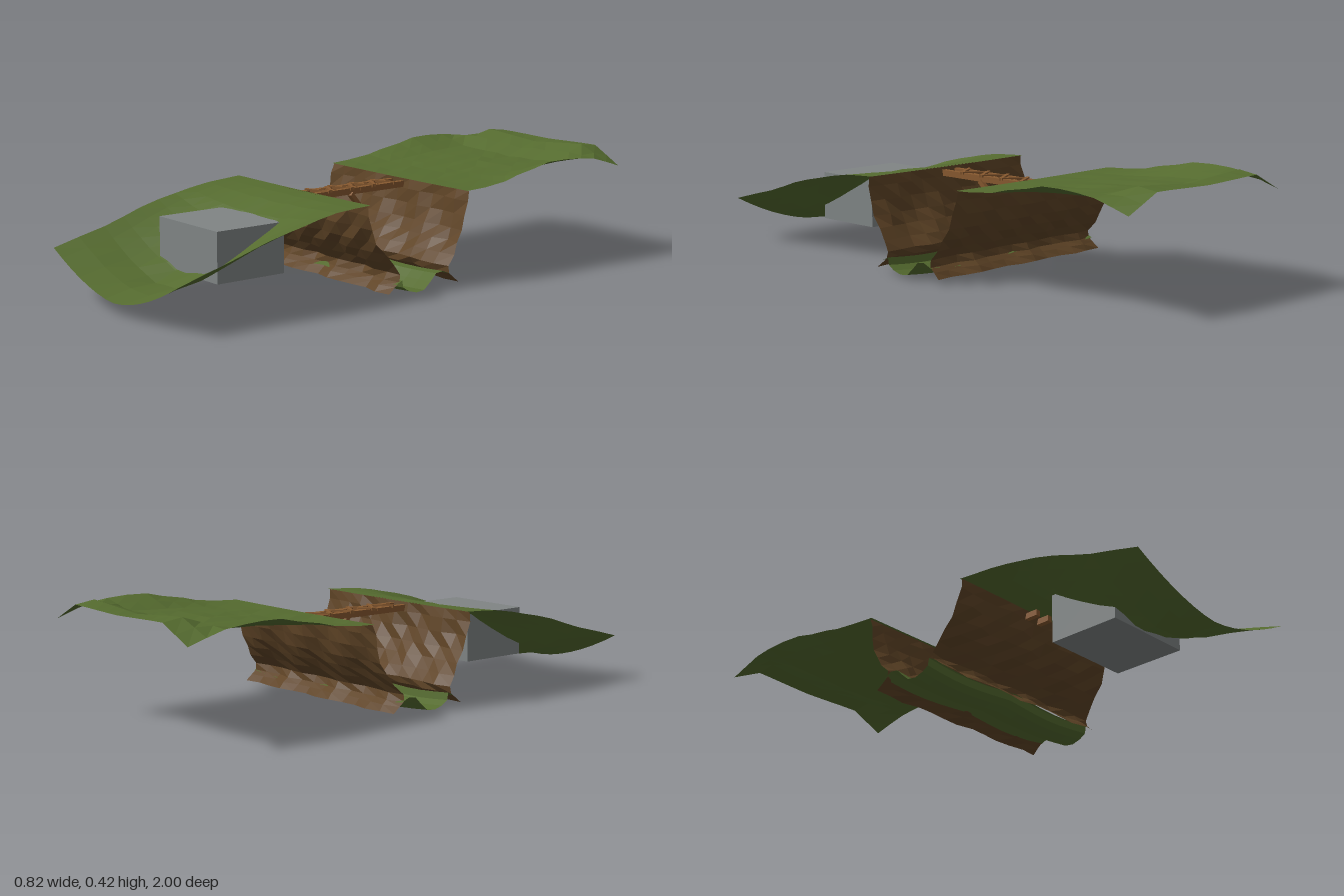
import * as THREE from 'three';

const GREEN = 0x556b2f, BROWN = 0x5f4426, LACE = 0x87592f, GREY = 0x808585;

function material(color) {
  return new THREE.MeshStandardMaterial({ color, flatShading: true, side: THREE.DoubleSide });
}

// Small repeatable ripple for cloth, about -1..1
const ripple = (a, b) => Math.sin(a * 17 + b * 9) * 0.6 + Math.sin(a * 31 - b * 23 + 1.3) * 0.4;

// Cloth sheet: each station is a row across x; pointAt(station, u) with u in -1..1
function sheet(name, color, stations, columns, pointAt) {
  const positions = [], index = [];
  stations.forEach((s, r) => {
    for (let c = 0; c <= columns; c++) {
      positions.push(...pointAt(s, (c / columns) * 2 - 1));
      if (r && c) {
        const d = r * (columns + 1) + c, b = d - columns - 1;
        index.push(b - 1, d - 1, b, b, d - 1, d);
      }
    }
  });
  const g = new THREE.BufferGeometry();
  g.setAttribute('position', new THREE.Float32BufferAttribute(positions, 3));
  g.setIndex(index);
  g.computeVertexNormals();
  const mesh = new THREE.Mesh(g, material(color));
  mesh.name = name;
  return mesh;
}

// Square strip running between two points
function strip(name, from, to, width, height) {
  const a = new THREE.Vector3(...from), b = new THREE.Vector3(...to);
  const mesh = new THREE.Mesh(new THREE.BoxGeometry(width, height, a.distanceTo(b)), material(LACE));
  mesh.position.copy(a).add(b).multiplyScalar(0.5);
  mesh.lookAt(b);
  mesh.name = name;
  return mesh;
}

export function createModel() {
  const model = new THREE.Group();

  // Front flap: hangs forward, sagging in the middle [z, middle y, edge y]
  const front = [
    [0.22, 0.335, 0.337], [0.29, 0.33, 0.333], [0.36, 0.315, 0.328], [0.44, 0.28, 0.315],
    [0.5, 0.235, 0.302], [0.57, 0.19, 0.288], [0.65, 0.142, 0.268], [0.72, 0.105, 0.245],
    [0.8, 0.073, 0.22], [0.9, 0.066, 0.195], [1, 0.045, 0.168],
  ];
  model.add(sheet('frontFlap', GREEN, front, 14, ([z, mid, edge], u) => {
    const fade = Math.min(1, (z - 0.22) * 5) * (1 - Math.abs(u)) * (z < 0.95 ? 1 : 0);
    return [u * (0.382 + 0.004 * Math.sin(z * 14)),
      mid + (edge - mid) * Math.abs(u) ** 1.65 + 0.006 * fade * ripple(u, z), z];
  }));

  // Rear flap: nearly level with a rippled end whose corners droop [z, middle y, quarter y, edge y]
  const rear = [
    [-0.22, 0.335, 0.336, 0.337], [-0.3, 0.337, 0.337, 0.341], [-0.4, 0.34, 0.341, 0.352],
    [-0.46, 0.343, 0.346, 0.367], [-0.55, 0.348, 0.353, 0.382], [-0.62, 0.354, 0.358, 0.398],
    [-0.7, 0.355, 0.361, 0.4], [-0.78, 0.356, 0.366, 0.396], [-0.85, 0.381, 0.397, 0.388],
    [-0.92, 0.4, 0.42, 0.368], [-1, 0.403, 0.41, 0.346],
  ];
  model.add(sheet('rearFlap', GREEN, rear, 12, ([z, mid, quarter, edge], u) => {
    const a = Math.abs(u), k = 0.66;
    const y = a < k ? mid + (quarter - mid) * (a / k) : quarter + (edge - quarter) * ((a - k) / (1 - k));
    const fade = z < -0.25 && z > -0.9 ? 1 - a : 0;
    return [u * (0.384 + 0.004 * Math.sin(z * 14)), y + 0.005 * fade * ripple(u, z),
      z + (z === -1 ? 0.01 * a * a : 0)];
  }));

  // Leather walls: lean inward to a waist, then flare out at the hem [y, |z|, half width]
  const wall = [
    [0.335, 0.228, 0.382], [0.3, 0.222, 0.384], [0.25, 0.212, 0.386], [0.2, 0.193, 0.388],
    [0.16, 0.168, 0.393], [0.12, 0.136, 0.4], [0.085, 0.107, 0.404], [0.06, 0.115, 0.406],
    [0.045, 0.135, 0.406], [0.024, 0.158, 0.408],
  ];
  for (const side of [1, -1]) {
    model.add(sheet(side > 0 ? 'frontWall' : 'rearWall', BROWN, wall, 12, ([y, z, half], u) => {
      const fade = y > 0.32 ? 0 : 0.012;
      return [u * half, y, side * (z + fade * ripple(u * 0.6 + side, y * 2.5))];
    }));
  }

  // Trough joining the feet of both walls [z, y]
  const trough = [
    [0.125, 0.05], [0.1, 0.062], [0.095, 0.036], [0.07, 0.02], [0.035, 0.01], [0, 0.014],
    [-0.03, 0.04], [-0.055, 0.065], [-0.085, 0.069], [-0.12, 0.055],
  ];
  model.add(sheet('trough', GREEN, trough, 12, ([z, y], u) => [
    u * 0.409, y + 0.004 - 0.011 * Math.sin(Math.abs(u) * Math.PI), z + 0.004 * Math.cos(u * 5),
  ]));

  // Lacing: two rails, crossing ties and a loose end
  const lacing = new THREE.Group();
  lacing.name = 'lacing';
  for (const x of [-0.04, 0.022]) {
    lacing.add(strip('lacingRail', [x, 0.313, -0.225], [x, 0.313, 0.272], 0.02, 0.022));
  }
  const ties = 7;
  for (let i = 0; i < ties; i++) {
    const z = -0.18 + i * 0.05, s = i % 2 ? 1 : -1;
    lacing.add(strip('lacingTie', [-0.009 - s * 0.042, 0.322, z], [-0.009 + s * 0.042, 0.324, z + 0.045], 0.012, 0.01));
    lacing.add(strip('lacingCross', [-0.009 + s * 0.04, 0.317, z + 0.005], [-0.009 - s * 0.04, 0.318, z + 0.025], 0.011, 0.01));
  }
  lacing.add(strip('lacingLooseEnd', [0.03, 0.305, 0.025], [0.02, 0.24, -0.035], 0.018, 0.016));
  model.add(lacing);

  // Block set through the front flap
  const block = new THREE.Mesh(new THREE.BoxGeometry(0.345, 0.178, 0.275), material(GREY));
  block.name = 'block';
  block.position.set(0.0155, 0.19, 0.577);
  model.add(block);

  return model;
}
